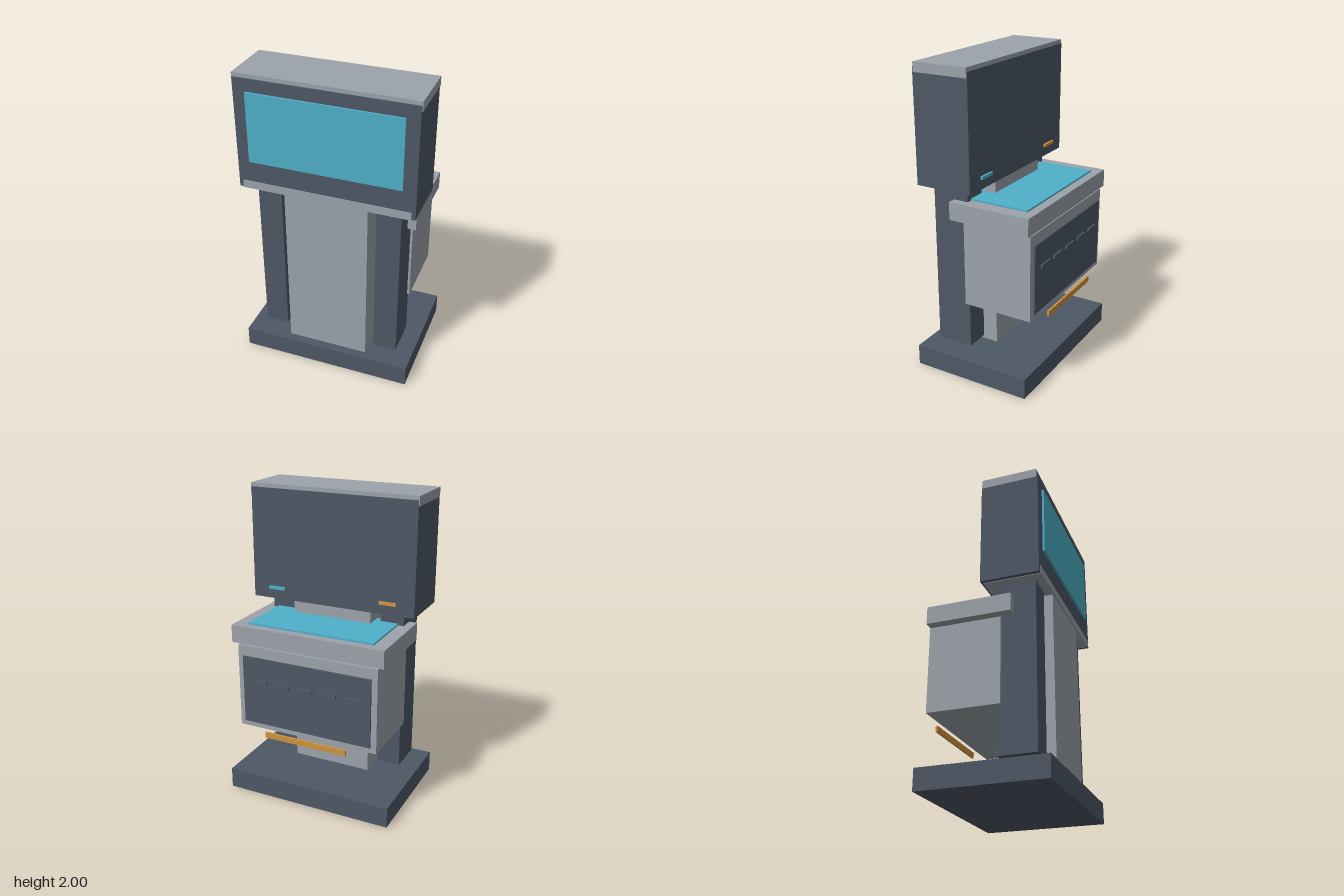
import * as THREE from 'three';

const material = (name, color) => {
  const m = new THREE.MeshStandardMaterial({ color });
  m.name = name;
  return m;
};

export function createModel() {
  const grey = material('light grey', 0x9ca3ab);
  const dark = material('slate', 0x4e5865);
  const cyan = material('screen cyan', 0x4fb0c9);
  const amber = material('amber', 0xd0943f);

  const model = new THREE.Group();
  model.name = 'kiosk';

  // Box given by its extents on each axis
  const box = (name, mat, [x0, x1], [y0, y1], [z0, z1]) => {
    const mesh = new THREE.Mesh(new THREE.BoxGeometry(x1 - x0, y1 - y0, z1 - z0), mat);
    mesh.position.set((x0 + x1) / 2, (y0 + y1) / 2, (z0 + z1) / 2);
    mesh.name = name;
    model.add(mesh);
  };
  const wide = (h) => [-h, h];

  // Stand
  box('base', dark, wide(0.565), [0, 0.135], [-0.393, 0.405]);
  box('column', grey, wide(0.268), [0.135, 1.257], [-0.012, 0.348]);
  box('leftPillar', dark, [0.308, 0.463], [0.183, 1.257], [0.062, 0.303]);
  box('rightPillar', dark, [-0.463, -0.308], [0.183, 1.257], [0.062, 0.303]);

  // Rear cabinet with vented service panel and handle
  box('cabinet', grey, wide(0.478), [0.488, 1.043], [-0.378, 0.085]);
  box('servicePanel', dark, wide(0.44), [0.525, 0.975], [-0.39, -0.378]);
  for (let i = -2; i <= 2; i++) {
    const x = i * 0.16;
    box('ventSlot', dark, [x - 0.053, x + 0.053], [0.807, 0.829], [-0.402, -0.39]);
  }
  box('handle', amber, wide(0.283), [0.44, 0.478], [-0.405, -0.392]);

  // Counter with inset touch surface
  box('counter', grey, wide(0.517), [1.055, 1.17], [-0.385, 0.16]);
  box('counterScreen', cyan, wide(0.427), [1.17, 1.181], [-0.328, 0.104]);

  // Display head
  box('displayHousing', dark, wide(0.56), [1.257, 1.975], [-0.02, 0.355]);
  box('displayCap', grey, wide(0.565), [1.94, 2], [-0.016, 0.347]);
  box('lowerTrim', grey, wide(0.535), [1.254, 1.305], [-0.01, 0.359]);
  box('displayScreen', cyan, wide(0.48), [1.445, 1.895], [0.355, 0.368]);

  // Status lights on the back of the head
  box('leftStatusLight', cyan, [0.33, 0.443], [1.321, 1.34], [-0.035, -0.02]);
  box('rightStatusLight', amber, [-0.443, -0.33], [1.321, 1.34], [-0.035, -0.02]);

  return model;
}
